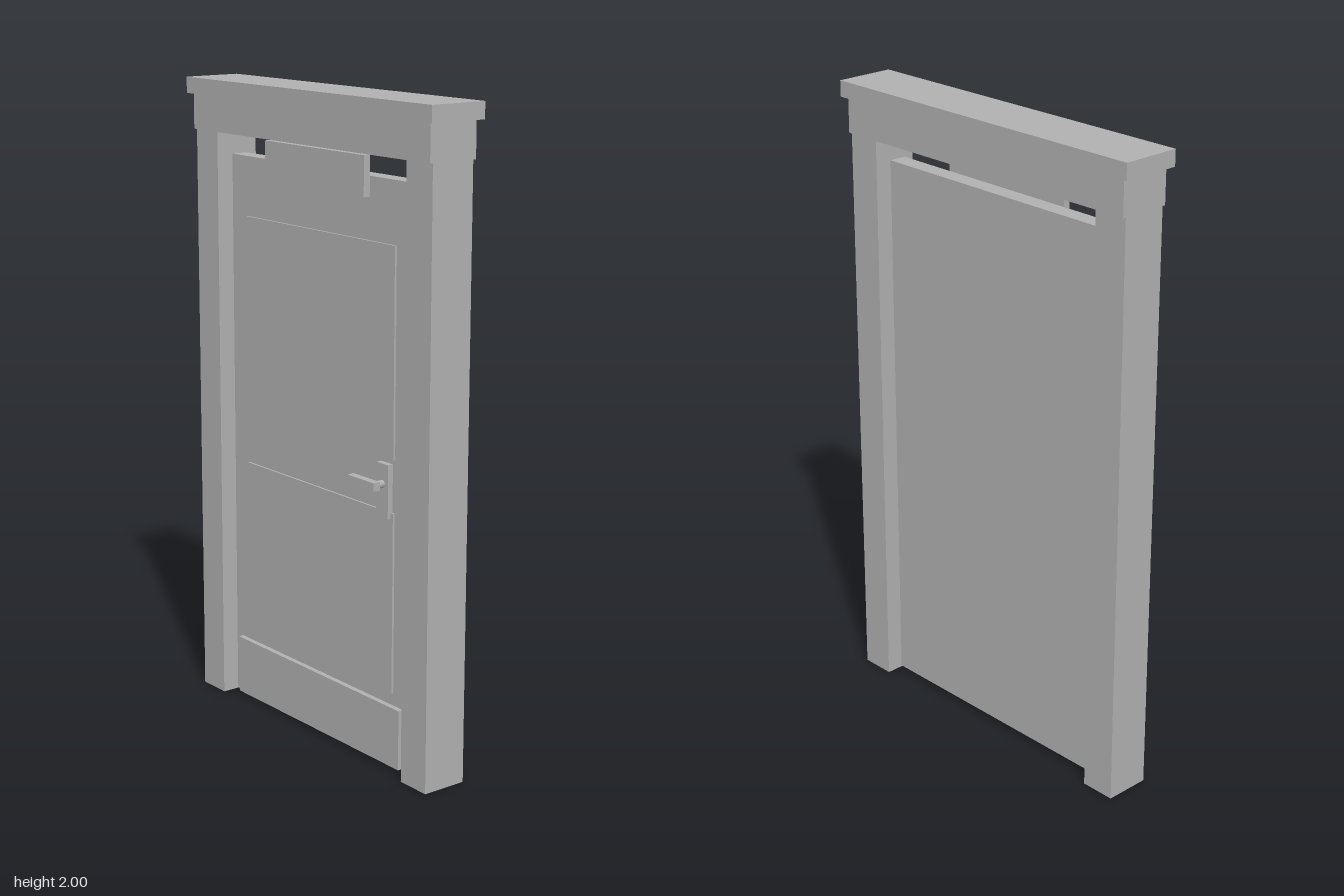
import * as THREE from 'three';

export function createModel() {
  const model = new THREE.Group();
  model.name = 'door';
  const grey = new THREE.MeshStandardMaterial({ color: 0xb0b0b0 });
  grey.name = 'plain grey';

  // Box given by its limits on each axis
  function block(name, [x0, x1], [y0, y1], [z0, z1], parent = model) {
    const mesh = new THREE.Mesh(new THREE.BoxGeometry(x1 - x0, y1 - y0, z1 - z0), grey);
    mesh.position.set((x0 + x1) / 2, (y0 + y1) / 2, (z0 + z1) / 2);
    mesh.name = name;
    parent.add(mesh);
    return mesh;
  }

  // Frame: two posts, lintel and cap
  const frame = new THREE.Group();
  frame.name = 'frame';
  model.add(frame);
  block('rightPost', [-0.57, -0.458], [0, 1.84], [-0.0725, 0.0725], frame);
  block('leftPost', [0.458, 0.57], [0, 1.84], [-0.0725, 0.0725], frame);
  block('lintel', [-0.57, 0.57], [1.84, 1.95], [-0.0825, 0.0825], frame);
  block('cap', [-0.59, 0.59], [1.95, 2], [-0.095, 0.095], frame);

  // Door leaf with raised panels, kick plate and closer box
  const front = 0.027;
  const leaf = new THREE.Group();
  leaf.name = 'leaf';
  model.add(leaf);
  block('slab', [-0.443, 0.443], [0.015, 1.77], [-0.029, front], leaf);
  block('upperPanel', [-0.364, 0.364], [0.957, 1.585], [front, 0.034], leaf);
  block('lowerPanel', [-0.364, 0.364], [0.238, 0.797], [front, 0.034], leaf);
  block('kickPlate', [-0.41, 0.41], [0.012, 0.2], [front, 0.044], leaf);
  block('closerBox', [-0.24, 0.24], [1.71, 1.83], [front, 0.049], leaf);

  // Lever handle on its back plate
  const handle = new THREE.Group();
  handle.name = 'handle';
  model.add(handle);
  block('handlePlate', [0.3, 0.354], [0.78, 0.943], [front, 0.045], handle);
  block('lever', [0.222, 0.345], [0.869, 0.895], [0.068, 0.092], handle);
  const spindle = new THREE.Mesh(new THREE.CylinderGeometry(0.012, 0.012, 0.035, 12), grey);
  spindle.rotation.x = Math.PI / 2;
  spindle.position.set(0.328, 0.882, 0.06);
  spindle.name = 'spindle';
  handle.add(spindle);

  return model;
}
